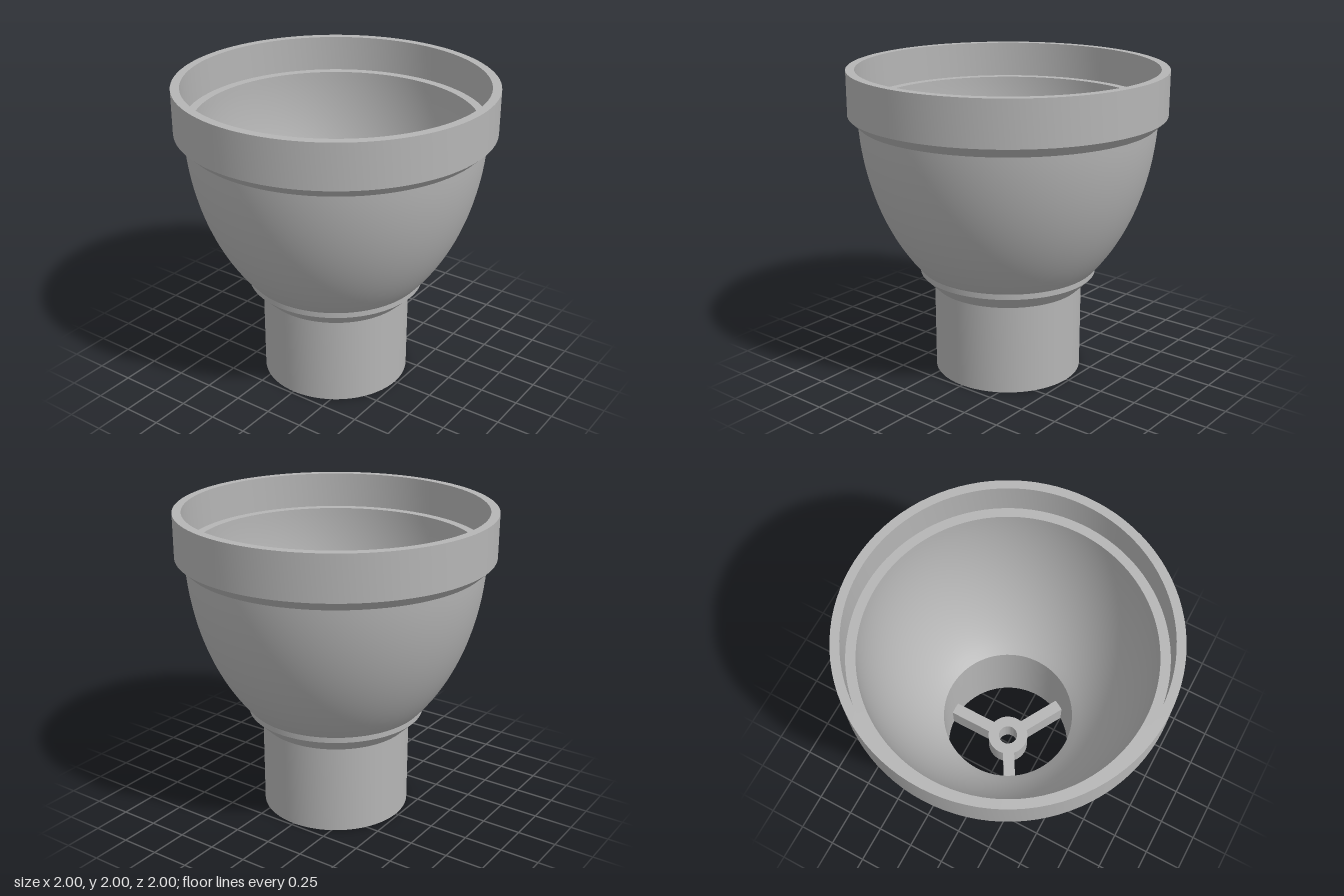
import * as THREE from 'three';
import { toCreasedNormals } from 'three/addons/utils/BufferGeometryUtils.js';

export function createModel() {
  const model = new THREE.Group();
  const grey = new THREE.MeshStandardMaterial({ color: 0xb5b5b5 });
  grey.name = 'grey';

  const add = (name, geometry) => {
    const mesh = new THREE.Mesh(geometry, grey);
    mesh.name = name;
    model.add(mesh);
    return mesh;
  };
  const lathe = (points, segments) => toCreasedNormals(
    new THREE.LatheGeometry(points.map(([r, y]) => new THREE.Vector2(r, y)), segments), 0.35);

  // Elliptical bowl wall, as profile points from one height to another
  const CENTRE = 1.77;
  const bowl = (a, b, y0, y1, steps = 24) => Array.from({ length: steps + 1 }, (_, i) => {
    const y = y0 + (y1 - y0) * i / steps;
    return [a * Math.sqrt(1 - ((y - CENTRE) / b) ** 2), y];
  });

  // Hollow shell: spout, collar, bowl and rim outside, then ledge, bowl and bore inside
  add('funnelShell', lathe([
    [0.435, 0], [0.48, 0], [0.48, 0.58], [0.57, 0.67], [0.57, 0.705],
    ...bowl(0.94, 1.34, 0.71, 1.66),
    [1, 1.72], [1, 2], [0.945, 2], [0.945, CENTRE],
    ...bowl(0.885, 1.285, CENTRE, 0.651),
    [0.435, 0.645], [0.435, 0],
  ], 96));

  // Hub and three spokes in the spout
  const HEIGHT = 0.19;
  add('hub', lathe([[0.065, 0], [0.14, 0], [0.14, HEIGHT], [0.065, HEIGHT], [0.065, 0]], 48));
  for (let i = 0; i < 3; i++) {
    const spoke = new THREE.BoxGeometry(0.32, HEIGHT, 0.08);
    spoke.translate(0.285, HEIGHT / 2, 0);
    add('spoke', spoke).rotation.y = i * Math.PI * 2 / 3;
  }
  return model;
}
